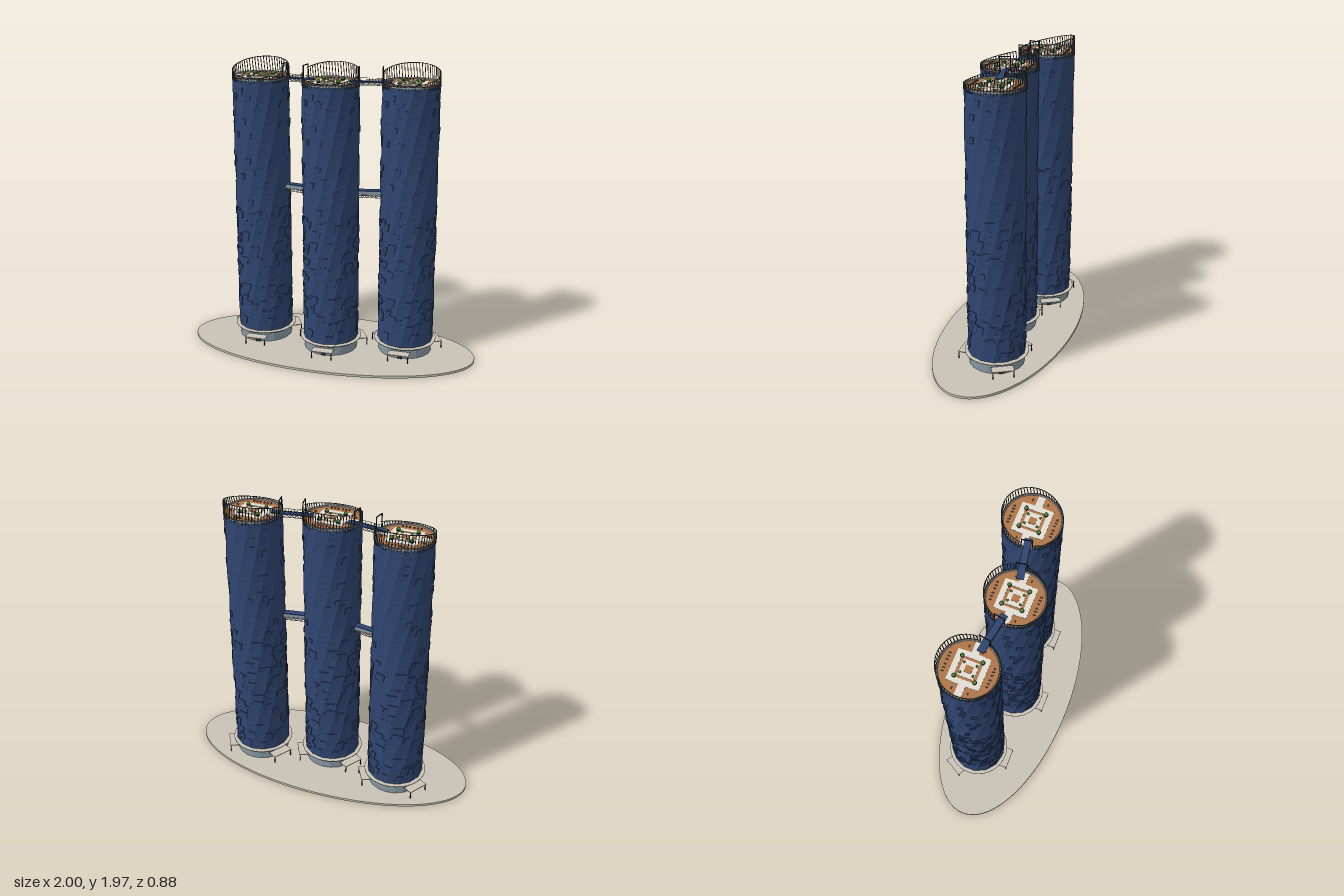
import * as THREE from 'three';
import { mergeGeometries } from 'three/addons/utils/BufferGeometryUtils.js';

const mat = (name, color, flatShading = false) => {
  const m = new THREE.MeshStandardMaterial({ color, flatShading });
  m.name = name;
  return m;
};

const SIDES = 14, R = 0.189, Y0 = 0.095, Y1 = 1.86, TWIST = 2.1;
const twist = (y) => TWIST * (y - Y0) / (Y1 - Y0);

// radius of the polygonal plan at an untwisted angle
function planRadius(a) {
  const step = (Math.PI * 2) / SIDES;
  const local = (((a % step) + step) % step) - step / 2;
  return R * Math.cos(step / 2) / Math.cos(local);
}

function seeded(seed) {
  return () => (seed = (seed * 16807) % 2147483647) / 2147483647;
}

const box = (w, h, d, x = 0, y = 0, z = 0) => new THREE.BoxGeometry(w, h, d).translate(x, y, z);

// thin bar between two points
function bar(a, b, t) {
  const p = new THREE.Vector3(...a), q = new THREE.Vector3(...b), d = q.clone().sub(p);
  const g = new THREE.BoxGeometry(t, d.length(), t);
  g.applyQuaternion(new THREE.Quaternion().setFromUnitVectors(new THREE.Vector3(0, 1, 0), d.normalize()));
  const c = p.add(q).multiplyScalar(0.5);
  return g.translate(c.x, c.y, c.z);
}

// flat ring of rectangular section
const ring = (r0, r1, y0, y1) => new THREE.LatheGeometry(
  [[r0, y0], [r1, y0], [r1, y1], [r0, y1], [r0, y0]].map((p) => new THREE.Vector2(...p)), 48);

// twisted polygonal shaft
function shaftGeometry() {
  const g = new THREE.CylinderGeometry(R, R, Y1 - Y0, SIDES, 40).translate(0, (Y0 + Y1) / 2, 0);
  const p = g.attributes.position;
  for (let i = 0; i < p.count; i++) {
    const r = Math.hypot(p.getX(i), p.getZ(i));
    const a = Math.atan2(p.getX(i), p.getZ(i)) + twist(p.getY(i));
    p.setXYZ(i, Math.sin(a) * r, p.getY(i), Math.cos(a) * r);
  }
  return g;
}

// raised facade panels that lean with the twist, denser low down
function panelGeometry() {
  const rnd = seeded(71), list = [];
  for (let k = 0; k < 210; k++) {
    const low = k < 165;
    const y = low ? 0.14 + 0.9 * Math.pow(rnd(), 1.25) : 1.0 + rnd() * 0.8;
    const a0 = rnd() * Math.PI * 2;
    const w = low ? 0.03 + rnd() * 0.045 : 0.03, h = low ? 0.025 + rnd() * 0.045 : 0.04;
    const g = new THREE.BoxGeometry(w, h, 0.006, 4, 1, 1);
    const p = g.attributes.position;
    for (let i = 0; i < p.count; i++) {
      const u = a0 + p.getX(i) / R, yy = y + p.getY(i);
      const r = planRadius(u) + 0.0015 + p.getZ(i), a = u + twist(yy);
      p.setXYZ(i, Math.sin(a) * r, yy, Math.cos(a) * r);
    }
    list.push(g);
  }
  return mergeGeometries(list);
}

// crown of fins whose rim slopes up towards the back; gaps are left for bridges
const rimY = (a) => 1.925 - 0.045 * Math.cos(a);
function crownGeometry(gaps) {
  const list = [], n = 60, at = (a, y, r = 0.187) => [Math.sin(a) * r, y, Math.cos(a) * r];
  for (let i = 0; i < n; i++) {
    const a = (i / n) * Math.PI * 2, b = ((i + 1) / n) * Math.PI * 2;
    const open = gaps.some((g) => Math.cos(a - g) > 0.98);
    if (open) continue;
    list.push(bar(at(a - 0.03, 1.845), at(a + 0.03, rimY(a)), 0.004));
    list.push(bar(at(a, rimY(a)), at(b, rimY(b)), 0.004));
    list.push(bar(at(a, 1.872), at(b, 1.872), 0.004));
  }
  return mergeGeometries(list);
}

export function createModel() {
  const model = new THREE.Group();
  model.name = 'threeTowers';
  const M = {
    glass: mat('blueFacade', 0x2f4570, true),
    lobby: mat('lobbyGlass', 0x8797a3, true),
    stone: mat('paleStone', 0xc9c2b6),
    dark: mat('darkMetal', 0x25282c),
    fin: mat('finMetal', 0x4c5052),
    grey: mat('parapetGrey', 0x9ba0a3),
    deck: mat('timberDeck', 0xb0764a),
    paving: mat('whitePaving', 0xe2ded4),
    leaf: mat('foliage', 0x4c8a38),
  };
  const add = (parent, name, geo, material) => {
    const m = new THREE.Mesh(geo, material);
    m.name = name;
    parent.add(m);
    return m;
  };

  // oval plaza
  add(model, 'plaza', new THREE.CylinderGeometry(1, 1, 0.016, 96).scale(1, 1, 0.44).translate(0, 0.008, 0), M.stone);

  const shaft = shaftGeometry(), panels = panelGeometry();
  const centres = [[-0.508, -0.068], [0, 0.022], [0.508, -0.068]];
  const dir = (i, j) => Math.atan2(centres[j][0] - centres[i][0], centres[j][1] - centres[i][1]);

  centres.forEach(([x, z], i) => {
    const t = new THREE.Group();
    t.name = 'tower' + (i + 1);
    t.position.set(x, 0, z);
    model.add(t);
    add(t, 'shaft', shaft, M.glass);
    add(t, 'facadePanels', panels, M.glass);

    // lobby and its ring canopy
    add(t, 'lobby', new THREE.CylinderGeometry(0.182, 0.182, 0.08, 20).translate(0, 0.056, 0), M.lobby);
    add(t, 'ringCanopy', ring(0.17, 0.211, 0.092, 0.099), M.stone);
    for (let k = 0; k < 3; k++) {
      const e = new THREE.Group();
      e.name = 'entrance';
      e.rotation.y = (k * Math.PI * 2) / 3;
      t.add(e);
      add(e, 'entranceCanopy', box(0.145, 0.005, 0.065, 0, 0.066, 0.2145), M.stone);
      add(e, 'canopyPosts', mergeGeometries([-1, 1].map((s) => box(0.005, 0.05, 0.005, s * 0.068, 0.041, 0.242))), M.dark);
      add(e, 'door', box(0.034, 0.034, 0.008, 0, 0.033, 0.181), M.dark);
    }

    // crown
    const gaps = [i - 1, i + 1].filter((j) => centres[j]).map((j) => dir(i, j));
    add(t, 'crownFins', crownGeometry(gaps), M.fin);
    add(t, 'parapet', ring(0.176, 0.184, 1.85, 1.874), M.grey);

    // roof garden
    const roof = new THREE.Group();
    roof.name = 'roofGarden';
    roof.position.y = 1.864;
    t.add(roof);
    add(roof, 'roofDeck', new THREE.CylinderGeometry(0.178, 0.178, 0.006, 28), M.deck);
    add(roof, 'paving', mergeGeometries([
      box(0.2, 0.003, 0.035, 0, 0.004, 0.085), box(0.2, 0.003, 0.035, 0, 0.004, -0.085),
      box(0.035, 0.003, 0.135, 0.085, 0.004, 0), box(0.035, 0.003, 0.135, -0.085, 0.004, 0),
      box(0.105, 0.003, 0.1, 0, 0.004, 0),
      box(0.07, 0.003, 0.045, -0.137, 0.004, 0), box(0.07, 0.003, 0.045, 0.137, 0.004, 0),
    ]), M.paving);
    add(roof, 'centralDeck', box(0.045, 0.004, 0.045, 0, 0.006, 0), M.deck);
    const planters = [], bushes = [], seats = [];
    for (const sx of [-1, 1]) for (const sz of [-1, 1]) {
      planters.push(new THREE.CylinderGeometry(0.014, 0.012, 0.008, 10).translate(sx * 0.064, 0.009, sz * 0.064));
      bushes.push(new THREE.SphereGeometry(0.012, 8, 6).translate(sx * 0.064, 0.018, sz * 0.064));
      bushes.push(new THREE.SphereGeometry(0.008, 8, 6).translate(sx * 0.032, 0.012, sz * 0.04));
      for (let k = 0; k < 3; k++) seats.push(box(0.008, 0.006, 0.014, sx * (0.015 + k * 0.022), 0.006, sz * 0.138));
      seats.push(box(0.014, 0.006, 0.008, sx * 0.135, 0.006, sz * 0.05));
    }
    add(roof, 'planters', mergeGeometries(planters), M.dark);
    add(roof, 'bushes', mergeGeometries(bushes), M.leaf);
    add(roof, 'seats', mergeGeometries(seats), M.fin);
  });

  // bridges between neighbouring towers, built along local x
  [[0, 1], [1, 2]].forEach(([i, j]) => {
    const [a, b] = [centres[i], centres[j]];
    const br = new THREE.Group();
    br.name = 'bridges';
    br.position.set((a[0] + b[0]) / 2, 0, (a[1] + b[1]) / 2);
    br.rotation.y = Math.atan2(-(b[1] - a[1]), b[0] - a[0]);
    model.add(br);

    // enclosed middle bridge
    add(br, 'bridgeRoof', box(0.2, 0.006, 0.048, 0, 1.147, 0), M.glass);
    add(br, 'bridgeGlazing', box(0.2, 0.022, 0.042, 0, 1.133, 0), M.lobby);
    add(br, 'bridgeFloor', box(0.2, 0.005, 0.048, 0, 1.12, 0), M.grey);
    // open roof bridge
    add(br, 'roofBridgeDeck', box(0.27, 0.008, 0.046, 0, 1.872, 0), M.glass);

    // under-trusses, railings and portal frames
    const truss = [], rails = [], portals = [];
    for (const z of [-0.021, 0.021]) {
      for (const y of [1.118, 1.868]) {
        for (let k = 0; k < 10; k++) {
          const x = -0.08 + k * 0.016, up = k % 2;
          truss.push(bar([x, y - (up ? 0 : 0.015), z], [x + 0.016, y - (up ? 0.015 : 0), z], 0.003));
        }
        truss.push(bar([-0.08, y - 0.016, z], [0.08, y - 0.016, z], 0.003));
      }
      rails.push(bar([-0.075, 1.892, z], [0.075, 1.892, z], 0.002));
      for (let k = 0; k < 8; k++) rails.push(box(0.002, 0.018, 0.002, -0.07 + k * 0.02, 1.883, z));
    }
    for (const x of [-0.077, 0.077]) {
      portals.push(box(0.006, 0.09, 0.005, x, 1.918, -0.034), box(0.006, 0.09, 0.005, x, 1.918, 0.034));
      portals.push(box(0.006, 0.005, 0.073, x, 1.964, 0));
    }
    add(br, 'bridgeTruss', mergeGeometries(truss), M.grey);
    add(br, 'bridgeRailing', mergeGeometries(rails), M.fin);
    add(br, 'portalFrames', mergeGeometries(portals), M.dark);
  });

  return model;
}
